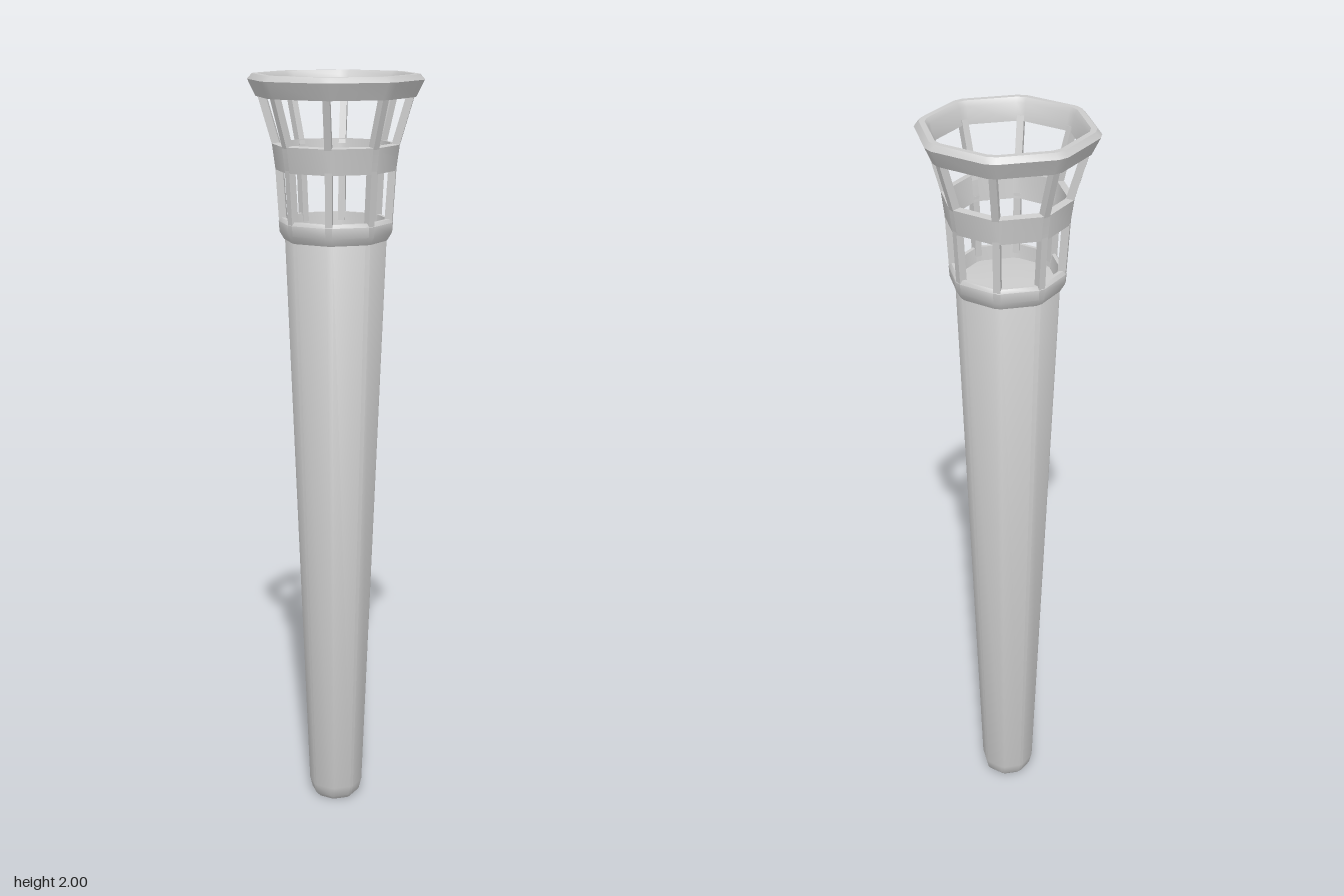
import * as THREE from 'three';
import { toCreasedNormals } from 'three/addons/utils/BufferGeometryUtils.js';

const SIDES = 8;
const material = new THREE.MeshStandardMaterial({ color: 0xcccccc });

// Lathe with an octagonal section whose corners are narrowly chamfered
function octagonLathe(name, profile, chamfer = 0.06) {
  const points = profile.map(([r, y]) => new THREE.Vector2(r, y));
  const geometry = new THREE.LatheGeometry(points, SIDES * 2);
  const pos = geometry.attributes.position;
  const step = (Math.PI * 2) / SIDES;
  for (let i = 0; i < pos.count; i++) {
    const k = Math.floor(i / points.length);
    const { x: r, y } = points[i % points.length];
    const angle = Math.floor(k / 2) * step + (k % 2 ? chamfer : -chamfer);
    pos.setXYZ(i, r * Math.sin(angle), y, r * Math.cos(angle));
  }
  const mesh = new THREE.Mesh(toCreasedNormals(geometry, 0.72), material);
  mesh.name = name;
  return mesh;
}

// Eight slanted bars between two radius/height points
function barRing(name, [r0, y0], [r1, y1]) {
  const group = new THREE.Group();
  group.name = name;
  const geometry = new THREE.BoxGeometry(0.02, Math.hypot(r1 - r0, y1 - y0), 0.018);
  geometry.rotateZ(-Math.atan2(r1 - r0, y1 - y0));
  geometry.translate((r0 + r1) / 2, (y0 + y1) / 2, 0);
  for (let i = 0; i < SIDES; i++) {
    const bar = new THREE.Mesh(geometry, material);
    bar.name = name + 'Bar';
    bar.rotation.y = (i / SIDES) * Math.PI * 2;
    group.add(bar);
  }
  return group;
}

export function createModel() {
  const torch = new THREE.Group();
  torch.name = 'torch';

  // Tapered handle with a bevelled foot and slightly domed top
  torch.add(octagonLathe('handle', [
    [0, 0], [0.055, 0], [0.066, 0.012], [0.073, 0.04],
    [0.133, 1.585], [0.125, 1.598], [0, 1.608],
  ]));

  // Basket rings, each a closed profile: up the outside, down the inside
  torch.add(octagonLathe('lowerRing', [
    [0.125, 1.577], [0.135, 1.577], [0.147, 1.597], [0.149, 1.624],
    [0.142, 1.633], [0.132, 1.633], [0.125, 1.577],
  ]));
  torch.add(octagonLathe('middleRing', [
    [0.136, 1.757], [0.156, 1.757], [0.165, 1.823],
    [0.145, 1.826], [0.136, 1.757],
  ]));
  torch.add(octagonLathe('topRing', [
    [0.184, 1.943], [0.206, 1.943], [0.227, 1.986], [0.215, 2],
    [0.2, 2], [0.191, 1.988], [0.184, 1.943],
  ]));

  // Bars of the two basket tiers
  torch.add(barRing('lowerTier', [0.137, 1.61], [0.147, 1.77]));
  torch.add(barRing('upperTier', [0.151, 1.81], [0.194, 1.955]));

  return torch;
}
